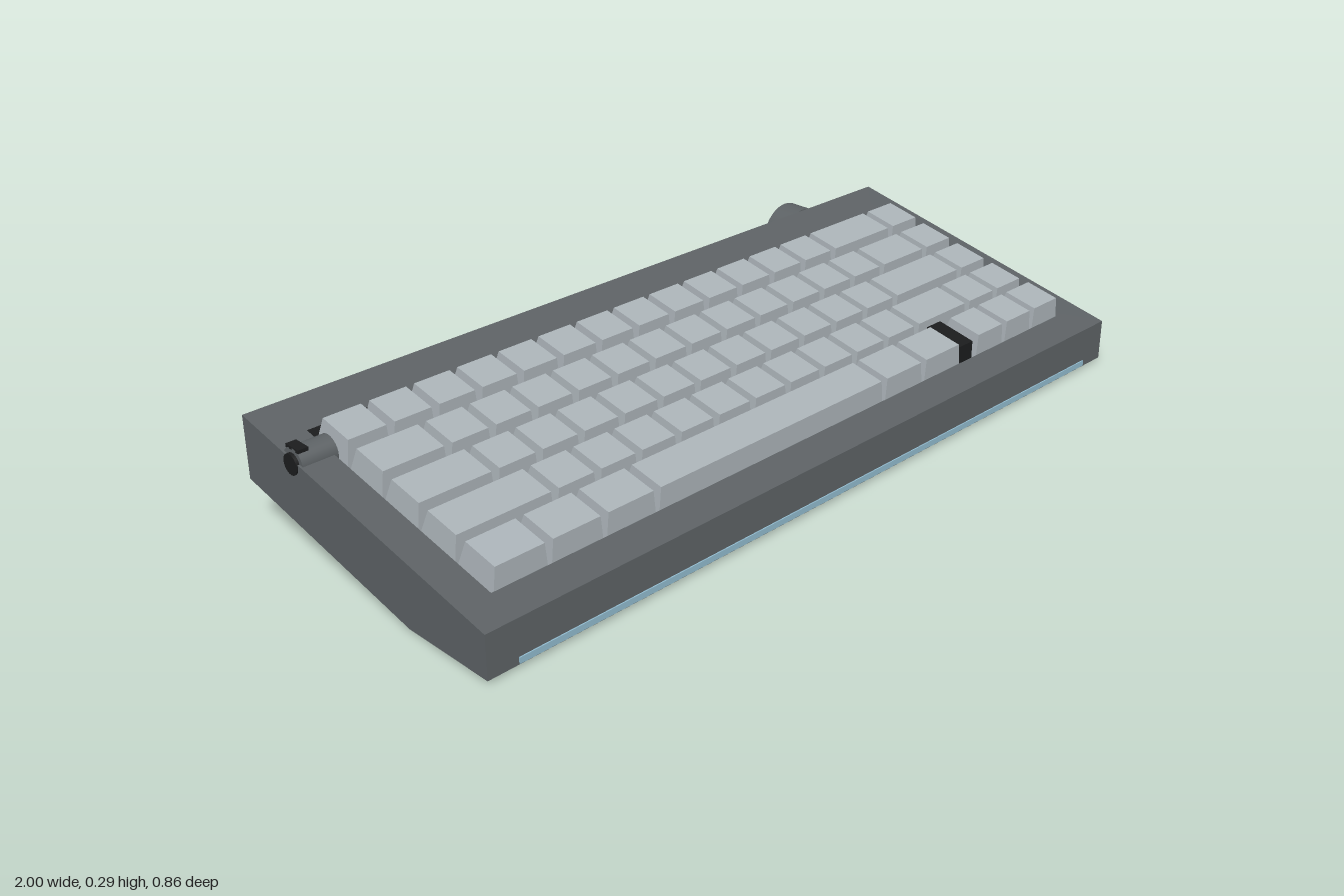
import * as THREE from 'three';
import { ConvexGeometry } from 'three/addons/geometries/ConvexGeometry.js';

const mat = (name, color) => {
  const m = new THREE.MeshStandardMaterial({ color });
  m.name = name;
  return m;
};

// Height of the sloping case top at depth z
const topY = (z) => 0.11 + (0.43 - z) * 0.21;

export function createModel() {
  const model = new THREE.Group();
  const casing = mat('case grey', 0x5c6164);
  const keyGrey = mat('key light grey', 0xaab2b7);
  const black = mat('black', 0x1b1c1d);
  const trim = mat('trim grey', 0x80878a);
  const blue = mat('pale blue', 0x8fb9cc);

  const add = (name, geo, material, parent = model) => {
    const mesh = new THREE.Mesh(geo, material);
    mesh.name = name;
    parent.add(mesh);
    return mesh;
  };
  const box = (name, material, w, h, d, x, y, z, parent) => {
    const mesh = add(name, new THREE.BoxGeometry(w, h, d), material, parent);
    mesh.position.set(x, y, z);
    return mesh;
  };
  // Raise every vertex by the slope of the case top
  const rake = (geo) => {
    const p = geo.attributes.position;
    for (let i = 0; i < p.count; i++) p.setY(i, p.getY(i) + topY(p.getZ(i)));
    geo.computeVertexNormals();
    return geo;
  };

  // Lower case: wedge with chamfered rear corners
  const W = 0.995, rim = 0.04;
  const corners = [];
  for (const s of [-1, 1]) {
    for (const [x, y, z] of [[W, 0.008, 0.43], [W, 0.008, 0.19], [0.9, 0.008, -0.145],
      [W, 0.125, -0.355], [W, topY(-0.355) - rim, -0.355], [W, topY(0.43) - rim, 0.43]]) {
      corners.push(new THREE.Vector3(s * x, y, z));
    }
  }
  add('lowerCase', new ConvexGeometry(corners), casing);

  // Raised rim around the keys
  const rect = (C, x0, x1, z0, z1) => {
    const r = new C();
    r.moveTo(x0, -z0).lineTo(x1, -z0).lineTo(x1, -z1).lineTo(x0, -z1).closePath();
    return r;
  };
  const outline = rect(THREE.Shape, -W, W, -0.355, 0.43);
  outline.holes.push(rect(THREE.Path, -0.915, 0.925, -0.285, 0.35));
  const rimGeo = new THREE.ExtrudeGeometry(outline, { depth: rim, bevelEnabled: false });
  rimGeo.rotateX(-Math.PI / 2).translate(0, -rim, 0);
  add('caseRim', rake(rimGeo), casing);

  // Dark plate under the keys with a row of tiny lights
  const plate = new THREE.BoxGeometry(1.838, 0.006, 0.633).translate(0.005, -rim + 0.004, 0.0325);
  add('keyPlate', rake(plate), black);
  for (let i = 0; i < 10; i++) {
    box('indicatorLight', keyGrey, 0.006, 0.004, 0.006, -0.77 + i * 0.174, topY(-0.258) - 0.032, -0.258);
  }

  // Keycaps: vertical front, sloping back, tapered sides
  const keys = new THREE.Group();
  keys.name = 'keys';
  model.add(keys);
  const unit = 1.826 / 16;
  const keycap = (x0, units, zFront, height) => {
    const w = units * unit - 0.007;
    const geo = new THREE.BoxGeometry(w, 1, 1);
    const p = geo.attributes.position;
    for (let i = 0; i < p.count; i++) {
      const up = p.getY(i) > 0, front = p.getZ(i) > 0;
      const z = front ? zFront : zFront - (up ? 0.087 : 0.109);
      const x = p.getX(i) - Math.sign(p.getX(i)) * (up ? 0.007 : 0);
      const y = up ? topY(zFront) + height + (front ? 0 : 0.018) : topY(z) - 0.022;
      p.setXYZ(i, x + x0 + (units * unit) / 2, y, z);
    }
    geo.computeVertexNormals();
    add('keycap', geo, keyGrey, keys);
  };
  const ones = (n) => Array(n).fill(1);
  // Key widths per row, back to front; negative means a gap
  const rows = [
    [...ones(13), 2, 1],
    [1.5, ...ones(12), 1.5, 1],
    [1.75, ...ones(11), 2.25, 1],
    [2.25, ...ones(10), 1.75, 1, 1],
    [1.25, 1.25, 1.25, 6.25, 1.25, 1.25, -0.5, 1, 1, 1],
  ];
  const heights = [0.046, 0.043, 0.042, 0.043, 0.047];
  rows.forEach((row, r) => {
    let x = -0.91;
    for (const u of row) {
      if (u > 0) keycap(x, u, -0.115 + r * 0.115, heights[r]);
      x += Math.abs(u) * unit;
    }
  });

  // Black blocker in the gap of the front row
  add('gapBlocker', rake(new THREE.BoxGeometry(0.05, 0.06, 0.1).translate(0.545, 0.002, 0.288)), black);

  // Rear dial
  const dial = (name, r0, r1, len, material, x, y, z) => {
    const geo = new THREE.CylinderGeometry(r0, r1, len, 40).rotateX(-Math.PI / 2);
    const m = add(name, geo, material);
    m.position.set(x, y, z);
  };
  dial('dialCollar', 0.07, 0.07, 0.01, black, 0.728, 0.197, -0.357);
  dial('dial', 0.078, 0.078, 0.066, casing, 0.728, 0.197, -0.392);

  // Rear toggle switch
  dial('toggleBase', 0.032, 0.032, 0.012, casing, 0.468, 0.2, -0.36);
  dial('toggleCone', 0.01, 0.026, 0.02, casing, 0.468, 0.2, -0.375);
  dial('toggleTip', 0.009, 0.009, 0.02, casing, 0.468, 0.2, -0.393);

  // Side connector in the left-hand wall at the back
  const barrel = add('sideConnector', new THREE.CylinderGeometry(0.035, 0.035, 0.085, 28).rotateZ(Math.PI / 2), casing);
  barrel.position.set(-0.948, 0.227, -0.18);
  const core = add('connectorCore', new THREE.CylinderGeometry(0.024, 0.024, 0.012, 24).rotateZ(Math.PI / 2), black);
  core.position.set(-0.992, 0.227, -0.18);
  box('connectorSlot', black, 0.025, 0.008, 0.045, -0.978, 0.26, -0.18);

  // Black vent panel on the +x side
  const vent = new THREE.Shape([[-0.01, 0.175], [0.003, 0.11], [0.237, 0.16], [0.225, 0.225]]
    .map(([a, b]) => new THREE.Vector2(a, b)));
  const ventGeo = new THREE.ExtrudeGeometry(vent, { depth: 0.005, bevelEnabled: false });
  add('sideVent', ventGeo.rotateY(Math.PI / 2).translate(W - 0.001, 0, 0), black);

  // Port with frame on the sloping underside
  const port = new THREE.Group();
  port.name = 'rearPort';
  port.position.set(0.63, 0.087, -0.286);
  port.rotation.x = Math.atan2(0.117, 0.21);
  model.add(port);
  box('portFrame', trim, 0.42, 0.006, 0.1, 0, 0, 0, port);
  box('portOpening', black, 0.37, 0.006, 0.066, 0, -0.003, 0, port);

  // Front accent strip and the slot below it
  box('frontAccent', blue, 1.84, 0.014, 0.006, 0, 0.018, 0.43);
  box('bottomTrim', trim, 1.84, 0.005, 0.11, 0, 0.007, 0.295);
  box('bottomSlot', black, 1.76, 0.005, 0.04, 0, 0.005, 0.295);

  // Feet
  for (const x of [-0.78, 0.78]) {
    for (const z of [0.38, -0.113]) box('foot', black, 0.14, 0.012, 0.028, x, 0.006, z);
  }
  return model;
}
